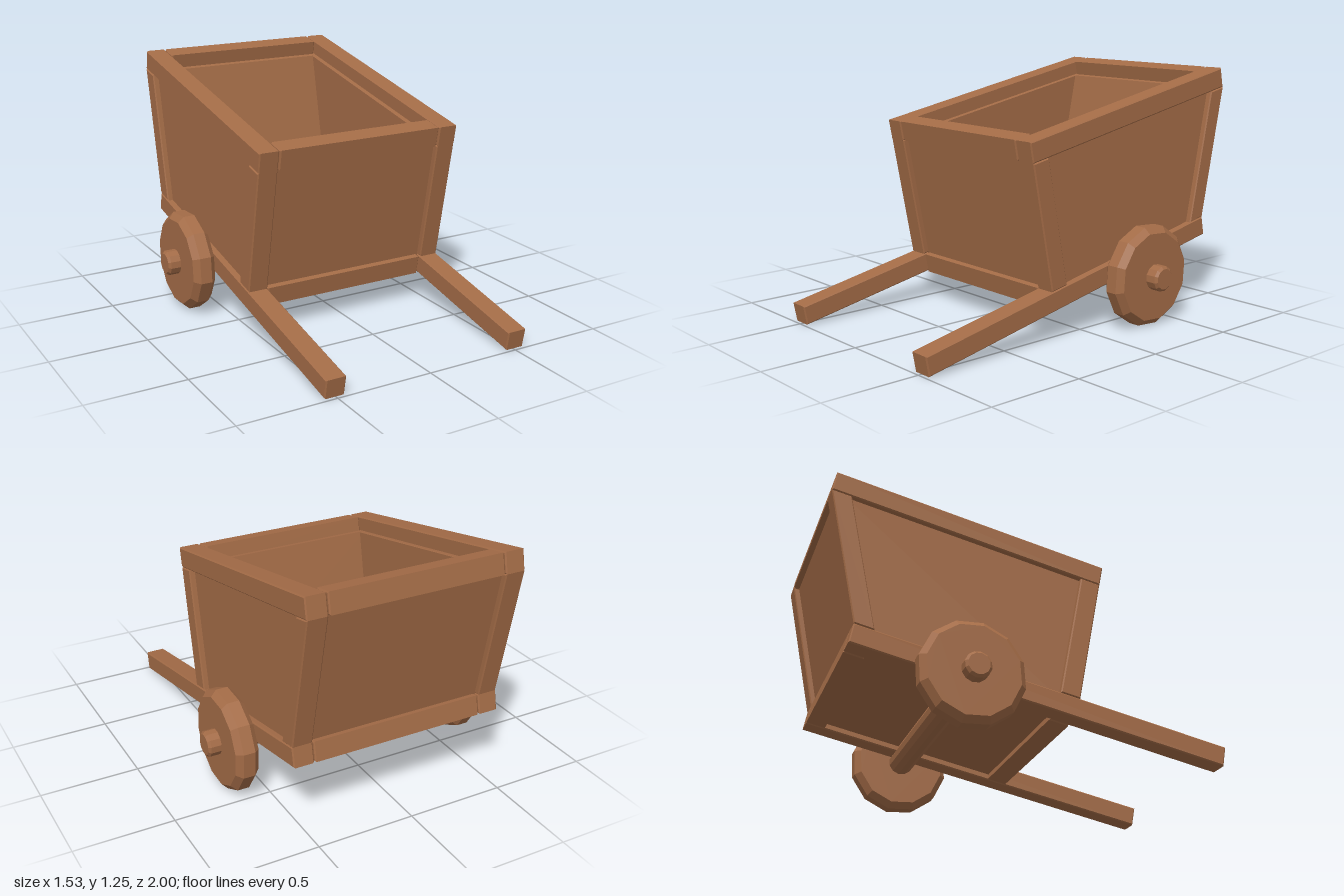
import * as THREE from 'three';

export function createModel() {
  const wood = new THREE.MeshStandardMaterial({ color: 0xa46c47 });
  wood.name = 'wood';

  const model = new THREE.Group();
  model.name = 'handcart';
  // The whole cart leans forward onto its handles
  const cart = new THREE.Group();
  cart.name = 'tiltedCart';
  cart.rotation.x = 0.194;
  model.add(cart);

  // Side profile of [z, y] points extruded from x0 to x1, with bevelled ends
  function plank(name, profile, x0, x1, bevel = 0.006) {
    const shape = new THREE.Shape(profile.map(([z, y]) => new THREE.Vector2(-z, y)));
    const geo = new THREE.ExtrudeGeometry(shape, {
      depth: x1 - x0 - 2 * bevel,
      bevelEnabled: true,
      bevelThickness: bevel,
      bevelSize: bevel,
      bevelOffset: -bevel,
      bevelSegments: 1,
    });
    geo.translate(0, 0, x0 + bevel);
    geo.rotateY(Math.PI / 2);
    const mesh = new THREE.Mesh(geo, wood);
    mesh.name = name;
    cart.add(mesh);
  }

  const rect = (z0, z1, y0, y1) => [[z0, y0], [z1, y0], [z1, y1], [z0, y1]];
  const disc = (r, z, y) => Array.from({ length: 12 }, (_, i) => {
    const a = (i * Math.PI) / 6;
    return [z + r * Math.sin(a), y + r * Math.cos(a)];
  });
  // Outer line of the sloping back, at height y
  const back = (y) => -0.93 - 0.419 * (y - 0.3);
  const slopedStrip = (d0, d1, y0, y1) => [
    [back(y0) + d0, y0], [back(y0) + d1, y0], [back(y1) + d1, y1], [back(y1) + d0, y1],
  ];

  // Paired parts
  for (const [side, s] of [['left', 1], ['right', -1]]) {
    const pair = (part, profile, a, b, bevel) =>
      plank(side + part, profile, Math.min(s * a, s * b), Math.max(s * a, s * b), bevel);
    pair('HandleRail', rect(-0.93, 0.962, 0.2, 0.3), 0.455, 0.56);
    pair('TopRail', rect(-1.2, 0.191, 0.946, 1.05), 0.455, 0.56);
    pair('FrontPost', rect(0.09, 0.19, 0.3, 0.946), 0.455, 0.56);
    pair('BackPost', slopedStrip(0, 0.1, 0.3, 0.946), 0.455, 0.56);
    pair('SidePanel', [[back(0.25) + 0.04, 0.25], [0.15, 0.25], [0.15, 0.975], [back(0.975) + 0.04, 0.975]],
      0.43, 0.53, 0.003);
    pair('Wheel', disc(0.258, -0.37, 0.195), 0.58, 0.7, 0.03);
  }

  // Cross bars
  plank('frontTopBar', rect(0.09, 0.19, 0.946, 1.05), -0.45, 0.45);
  plank('backTopBar', rect(-1.2, -1.1, 0.946, 1.05), -0.45, 0.45);
  plank('frontBottomBar', rect(0.09, 0.19, 0.2, 0.3), -0.45, 0.45);
  plank('backBottomBar', rect(-0.93, -0.83, 0.2, 0.3), -0.45, 0.45);

  // End panels and floor
  plank('frontPanel', rect(0.058, 0.16, 0.25, 0.975), -0.47, 0.47, 0.003);
  plank('backPanel', slopedStrip(0.03, 0.14, 0.25, 0.975), -0.47, 0.47, 0.003);
  plank('floor', rect(-0.87, 0.13, 0.23, 0.283), -0.47, 0.47, 0.003);

  // Axle through both wheels
  plank('axle', disc(0.065, -0.37, 0.195), -0.765, 0.765, 0.012);

  return model;
}
